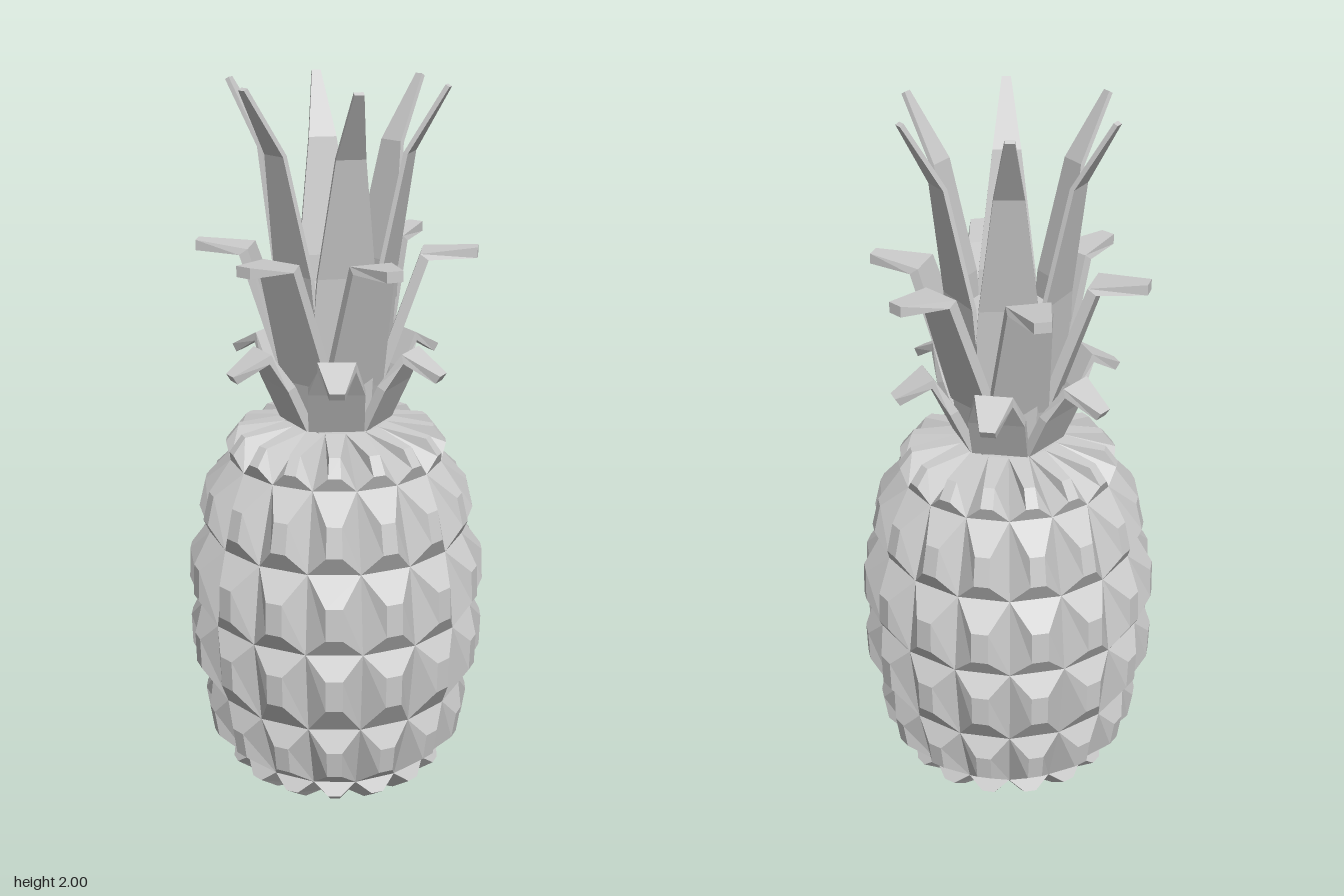
import * as THREE from 'three';

const material = new THREE.MeshStandardMaterial({ color: 0xcccccc, flatShading: true });

// Mesh from a list of polygons (each split as a fan)
function polyMesh(name, polys) {
  const pos = [];
  for (const p of polys)
    for (let i = 1; i < p.length - 1; i++) pos.push(...p[0], ...p[i], ...p[i + 1]);
  const g = new THREE.BufferGeometry();
  g.setAttribute('position', new THREE.Float32BufferAttribute(pos, 3));
  g.computeVertexNormals();
  const m = new THREE.Mesh(g, material);
  m.name = name;
  return m;
}

const polar = (a, r, y) => [r * Math.sin(a), y, r * Math.cos(a)];

// Fruit: rows of cells, each rising to a narrow plate
function makeFruit() {
  const N = 16, step = Math.PI * 2 / N;
  // [radius, height] of the grooves between rows
  const grooves = [[0.2, 0.025], [0.3, 0.115], [0.362, 0.32], [0.388, 0.56], [0.358, 0.78], [0.295, 0.99], [0.14, 1.095]];
  // lower and upper [radius, height] of the raised plate in each row
  const plates = [
    [[0.25, 0.03], [0.315, 0.08]],
    [[0.37, 0.18], [0.382, 0.26]],
    [[0.416, 0.41], [0.418, 0.5]],
    [[0.418, 0.62], [0.414, 0.71]],
    [[0.384, 0.84], [0.365, 0.92]],
    [[0.305, 1.03], [0.27, 1.075]],
  ];
  const polys = [];
  for (let i = 0; i < N; i++) {
    const a0 = i * step, a1 = a0 + step, mid = a0 + step / 2, w = step * 0.14;
    plates.forEach(([lo, hi], row) => {
      const g0 = grooves[row], g1 = grooves[row + 1];
      const c = [polar(a0, ...g0), polar(a1, ...g0), polar(a1, ...g1), polar(a0, ...g1)];
      const p = [polar(mid - w, ...lo), polar(mid + w, ...lo), polar(mid + w, ...hi), polar(mid - w, ...hi)];
      polys.push(p);
      for (let j = 0; j < 4; j++) {
        const k = (j + 1) % 4;
        polys.push([c[j], c[k], p[k], p[j]]);
      }
    });
    // bottom and top closures
    const top = grooves[grooves.length - 1];
    polys.push([[0, 0, 0], polar(a1, ...grooves[0]), polar(a0, ...grooves[0])]);
    polys.push([[0, 1.1, 0], polar(a0, ...top), polar(a1, ...top)]);
  }
  return polyMesh('fruit', polys);
}

// Leaf pointing to +z; path holds [radius, height, half width]
function makeLeaf(path, thickness) {
  const rings = path.map(([r, y, hw], i) => {
    const a = path[Math.max(i - 1, 0)], b = path[Math.min(i + 1, path.length - 1)];
    const len = Math.hypot(b[0] - a[0], b[1] - a[1]);
    const dr = -(b[1] - a[1]) / len * thickness, dy = (b[0] - a[0]) / len * thickness;
    return [[-hw, y, r], [hw, y, r], [hw, y + dy, r + dr], [-hw, y + dy, r + dr]];
  });
  const polys = [rings[rings.length - 1], [...rings[0]].reverse()];
  for (let i = 0; i < rings.length - 1; i++)
    for (let j = 0; j < 4; j++) {
      const k = (j + 1) % 4;
      polys.push([rings[i][j], rings[i][k], rings[i + 1][k], rings[i + 1][j]]);
    }
  return polyMesh('leaf', polys);
}

// Ring of six leaves, turned by an offset in degrees
function makeTier(name, path, thickness, offset) {
  const tier = new THREE.Group();
  tier.name = name;
  for (let i = 0; i < 6; i++) {
    const leaf = makeLeaf(path, thickness);
    leaf.rotation.y = THREE.MathUtils.degToRad(offset + i * 60);
    tier.add(leaf);
  }
  return tier;
}

export function createModel() {
  const model = new THREE.Group();
  model.name = 'pineapple';
  model.add(makeFruit());

  // Six-sided core carrying the leaves
  const core = new THREE.Mesh(new THREE.CylinderGeometry(0.165, 0.14, 0.36, 6), material);
  core.name = 'crownCore';
  core.position.y = 1.27;
  core.rotation.y = Math.PI / 6;
  model.add(core);

  model.add(
    makeTier('lowerLeaves', [[0.135, 1.1, 0.075], [0.19, 1.22, 0.075], [0.23, 1.295, 0.05], [0.31, 1.245, 0.02]], 0.025, -10),
    makeTier('middleLeaves', [[0.135, 1.22, 0.08], [0.25, 1.555, 0.058], [0.375, 1.557, 0.022]], 0.028, 12),
    makeTier('upperLeaves', [[0.145, 1.43, 0.083], [0.15, 1.52, 0.076], [0.205, 1.83, 0.038], [0.302, 1.995, 0.012]], 0.012, 0),
  );
  return model;
}
